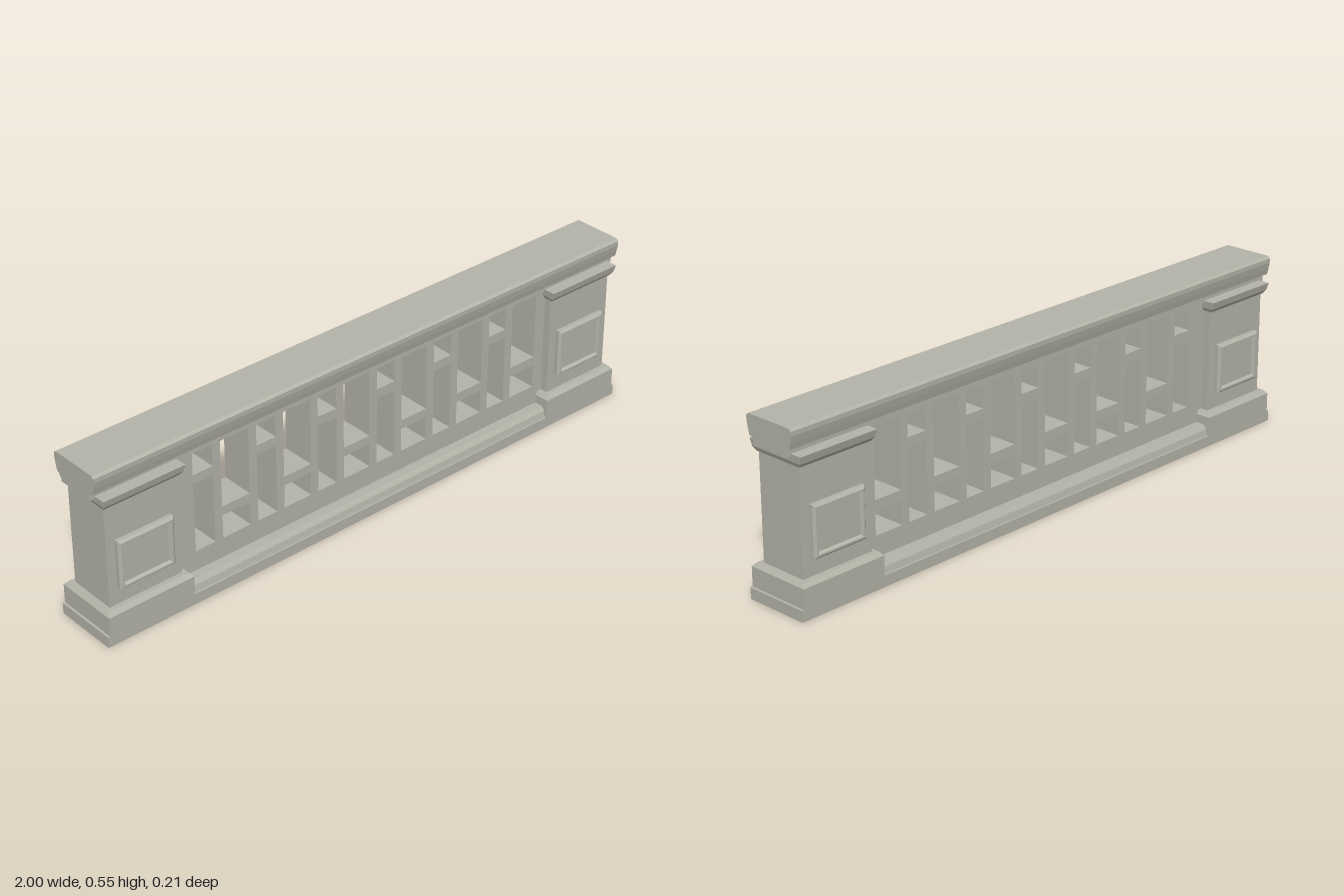
import * as THREE from 'three';

// Stack of rectangles [halfX, y, halfZ], joined with flat faces and closed at both ends
function stack(rings) {
  const pos = [];
  const corners = rings.map(([x, y, z]) => [[x, y, z], [x, y, -z], [-x, y, -z], [-x, y, z]]);
  const quad = (a, b, c, d) => pos.push(...a, ...b, ...c, ...a, ...c, ...d);
  for (let k = 0; k < corners.length - 1; k++) {
    const lo = corners[k], hi = corners[k + 1];
    for (let i = 0; i < 4; i++) {
      const j = (i + 1) % 4;
      quad(lo[i], lo[j], hi[j], hi[i]);
    }
  }
  quad(...corners[corners.length - 1]);
  quad(...[...corners[0]].reverse());
  const g = new THREE.BufferGeometry();
  g.setAttribute('position', new THREE.Float32BufferAttribute(pos, 3));
  g.computeVertexNormals();
  return g;
}

// Mirrored moulding profile [z, y] run along x
function moulding(profile, length) {
  const pts = [...profile, ...[...profile].reverse().map(([z, y]) => [-z, y])];
  const shape = new THREE.Shape(pts.map(([z, y]) => new THREE.Vector2(z, y)));
  const g = new THREE.ExtrudeGeometry(shape, { depth: length, bevelEnabled: false });
  return g.translate(0, 0, -length / 2).rotateY(Math.PI / 2);
}

function rectPath(Type, x0, y0, x1, y1) {
  const p = new Type();
  p.moveTo(x0, y0).lineTo(x1, y0).lineTo(x1, y1).lineTo(x0, y1).closePath();
  return p;
}

export function createModel() {
  const model = new THREE.Group();
  model.name = 'balustrade';
  const stone = new THREE.MeshStandardMaterial({ color: 0xb4b3a8 });
  stone.name = 'stone';
  const add = (parent, name, geometry, x = 0, y = 0, z = 0) => {
    const m = new THREE.Mesh(geometry, stone);
    m.name = name;
    m.position.set(x, y, z);
    parent.add(m);
    return m;
  };

  // Handrail
  add(model, 'handrail', moulding([
    [0.063, 0.465], [0.063, 0.483], [0.08, 0.492], [0.085, 0.512],
    [0.089, 0.532], [0.089, 0.546], [0.081, 0.553],
  ], 2));

  // Plinth and stepped sill between the piers
  add(model, 'plinth', moulding([[0.106, 0], [0.106, 0.035]], 2));
  add(model, 'sill', moulding([
    [0.1, 0.035], [0.095, 0.055], [0.085, 0.068], [0.055, 0.068],
  ], 1.42));

  // Pierced lattice: alternating narrow and wide bays with offset cross bars
  const wall = rectPath(THREE.Shape, -0.73, 0.06, 0.73, 0.472);
  const bay = (x0, x1, barLow, barHigh) => {
    wall.holes.push(rectPath(THREE.Path, x0, 0.133, x1, barLow));
    wall.holes.push(rectPath(THREE.Path, x0, barHigh, x1, 0.468));
  };
  for (let i = 0; i < 6; i++) {
    const x = -0.65 + i * 0.2265;
    bay(x, x + 0.07, 0.358, 0.388);
    bay(x + 0.098, x + 0.198, 0.21, 0.24);
  }
  const lattice = new THREE.ExtrudeGeometry(wall, { depth: 0.11, bevelEnabled: false });
  add(model, 'lattice', lattice.translate(0, 0, -0.055));

  // End piers
  const baseGeo = stack([[0.147, 0.035, 0.106], [0.147, 0.096, 0.106], [0.137, 0.108, 0.095]]);
  const shaftGeo = stack([[0.125, 0.108, 0.08], [0.125, 0.437, 0.08]]);
  const capGeo = stack([
    [0.128, 0.436, 0.086], [0.134, 0.449, 0.096], [0.137, 0.472, 0.102],
  ]);
  const panelGeo = stack([
    [0.095, 0, 0.08], [0.095, 0.012, 0.08], [0.088, 0.019, 0.073],
    [0.082, 0.019, 0.067], [0.077, 0.01, 0.062],
  ]);
  for (const side of [-1, 1]) {
    const pier = new THREE.Group();
    pier.name = side > 0 ? 'leftPier' : 'rightPier';
    pier.position.x = side * 0.845;
    add(pier, 'pierBase', baseGeo);
    add(pier, 'pierShaft', shaftGeo);
    add(pier, 'pierCap', capGeo);
    add(pier, 'frontPanel', panelGeo, 0, 0.24, 0.08).rotation.x = Math.PI / 2;
    add(pier, 'backPanel', panelGeo, 0, 0.24, -0.08).rotation.x = -Math.PI / 2;
    model.add(pier);
  }
  return model;
}
